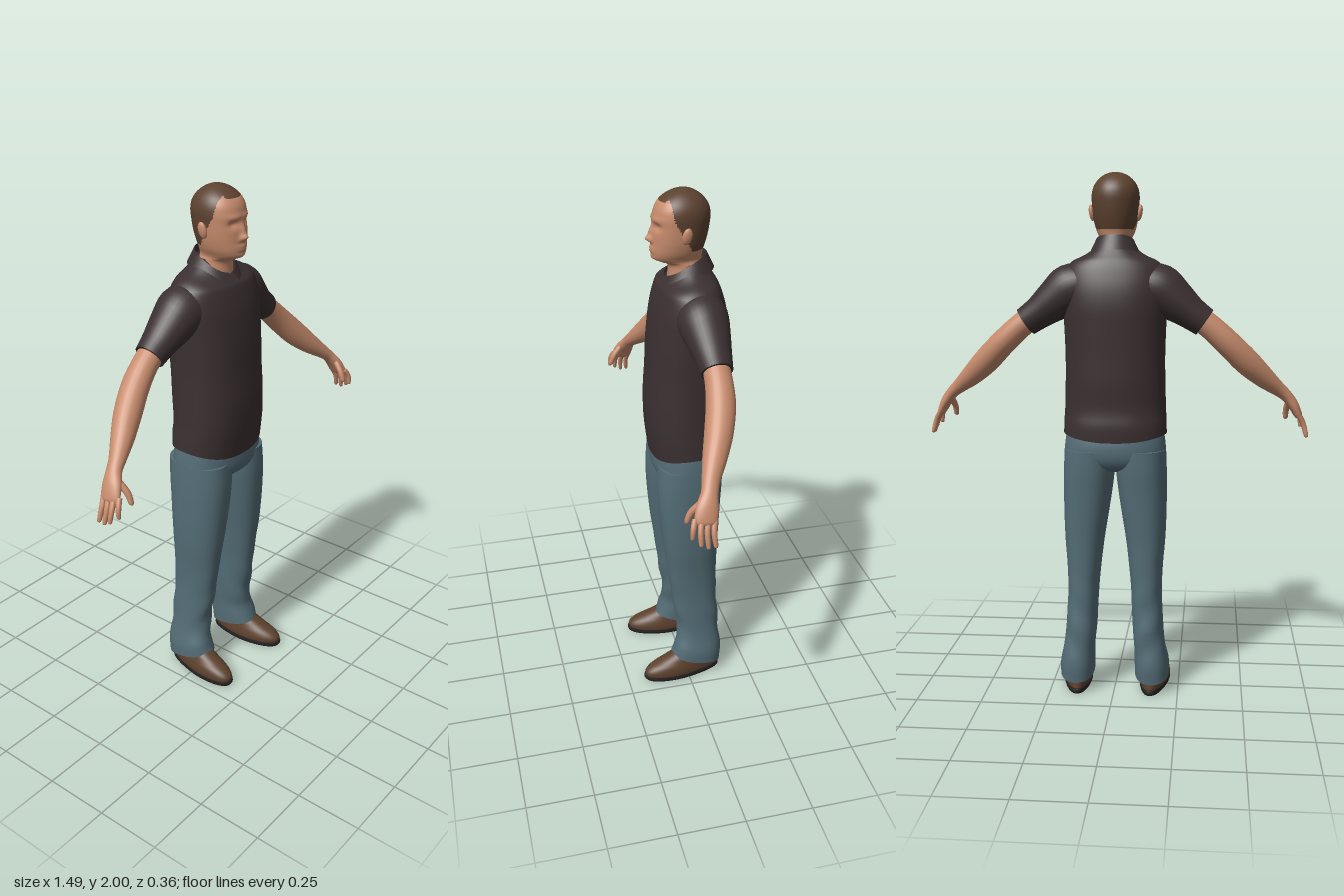
import * as THREE from 'three';

const mat = (name, color, side = THREE.FrontSide) => {
  const m = new THREE.MeshStandardMaterial({ color, side });
  m.name = name;
  return m;
};

// Smooth interpolation through a list of number rows
function resample(rows, steps) {
  const out = [], last = rows.length - 1;
  for (let k = 0; k <= last * steps; k++) {
    const i = Math.min(Math.floor(k / steps), last - 1), t = k / steps - i;
    const a = rows[Math.max(i - 1, 0)], b = rows[i], c = rows[i + 1], d = rows[Math.min(i + 2, last)];
    out.push(b.map((v, n) => 0.5 * (2 * v + (c[n] - a[n]) * t
      + (2 * a[n] - 5 * v + 4 * c[n] - d[n]) * t * t
      + (3 * v - a[n] - 3 * c[n] + d[n]) * t * t * t)));
  }
  return out;
}

const power = (v, e) => Math.sign(v) * Math.abs(v) ** (2 / e);

// Horizontal rings from rows of [y, centreX, halfWidth, zFront, zBack]
function bodyRings(rows, { segs = 40, steps = 4, exp = 2, bend } = {}) {
  return resample(rows, steps).map(([y, cx, rx, zf, zb]) =>
    Array.from({ length: segs }, (_, j) => {
      const a = (j / segs) * Math.PI * 2;
      const p = new THREE.Vector3(cx + rx * power(Math.sin(a), exp), y,
        (zf + zb) / 2 + (zf - zb) / 2 * power(Math.cos(a), exp));
      if (bend) bend(p, a);
      return p;
    }));
}

// Rings across a path from rows of [x, y, z, radius, radiusTowardFront]
function limbRings(rows, segs = 24, steps = 4) {
  const pts = resample(rows, steps);
  return pts.map((r, i) => {
    const a = pts[Math.max(i - 1, 0)], b = pts[Math.min(i + 1, pts.length - 1)];
    const t = new THREE.Vector3(b[0] - a[0], b[1] - a[1], b[2] - a[2]).normalize();
    const front = new THREE.Vector3(0, 0, 1).addScaledVector(t, -t.z).normalize();
    const across = t.clone().cross(front);
    return Array.from({ length: segs }, (_, j) => {
      const q = (j / segs) * Math.PI * 2;
      return new THREE.Vector3(r[0], r[1], r[2])
        .addScaledVector(across, r[3] * Math.sin(q)).addScaledVector(front, r[4] * Math.cos(q));
    });
  });
}

// Closed skin over rings, with flat end caps
function skin(rings) {
  const n = rings[0].length, pos = [], idx = [];
  rings.forEach(r => r.forEach(p => pos.push(p.x, p.y, p.z)));
  for (let i = 0; i < rings.length - 1; i++) for (let j = 0; j < n; j++) {
    const a = i * n + j, b = i * n + (j + 1) % n;
    idx.push(a, b, b + n, a, b + n, a + n);
  }
  [rings[0], rings[rings.length - 1]].forEach((r, end) => {
    const base = pos.length / 3, c = new THREE.Vector3();
    r.forEach(p => { pos.push(p.x, p.y, p.z); c.addScaledVector(p, 1 / n); });
    pos.push(c.x, c.y, c.z);
    for (let j = 0; j < n; j++) {
      const a = base + j, b = base + (j + 1) % n;
      idx.push(base + n, end ? a : b, end ? b : a);
    }
  });
  return build(pos, idx);
}

function build(pos, idx) {
  const g = new THREE.BufferGeometry();
  g.setAttribute('position', new THREE.Float32BufferAttribute(pos, 3));
  g.setIndex(idx);
  g.computeVertexNormals();
  return g;
}

// Open strip between two point rows
function strip(lower, upper) {
  const n = lower.length, idx = [];
  for (let i = 0; i < n - 1; i++) idx.push(i, i + 1, n + i + 1, i, n + i + 1, n + i);
  return build([...lower, ...upper].flatMap(p => [p.x, p.y, p.z]), idx);
}

function mirrored(geo) {
  const g = geo.clone().scale(-1, 1, 1), ix = Array.from(g.index.array);
  for (let i = 0; i < ix.length; i += 3) [ix[i], ix[i + 1]] = [ix[i + 1], ix[i]];
  g.setIndex(ix);
  g.computeVertexNormals();
  return g;
}

export function createModel() {
  const model = new THREE.Group();
  model.name = 'standingMan';
  const skinMat = mat('skin', 0xc68b6c), hairMat = mat('hair', 0x5c4230);
  const shirtMat = mat('shirt', 0x3b3031, THREE.DoubleSide), seamMat = mat('seam', 0x1d1819, THREE.DoubleSide);
  const pantsMat = mat('trousers', 0x546c76), shoeMat = mat('shoe', 0x5d412d), soleMat = mat('sole', 0x282323);

  const add = (name, geo, m) => {
    const mesh = new THREE.Mesh(geo, m);
    mesh.name = name;
    model.add(mesh);
  };
  const pair = (name, geo, m) => {
    add('left' + name, geo, m);
    add('right' + name, mirrored(geo), m);
  };

  // Head and neck, with brow, sockets, nose, lips and chin pushed from the face
  const bump = (p, x, y, sx, sy) => Math.exp(-(((Math.abs(p.x) - x) / sx) ** 2) - ((p.y - y) / sy) ** 2);
  const face = p => {
    if (p.z < 0.03 || p.y < 1.74) return;
    p.z += -0.012 * bump(p, 0.034, 1.875, 0.018, 0.013) + 0.005 * bump(p, 0.03, 1.9, 0.03, 0.01)
      + 0.012 * bump(p, 0, 1.85, 0.011, 0.025) + 0.018 * bump(p, 0, 1.828, 0.014, 0.012)
      + 0.005 * bump(p, 0.013, 1.822, 0.008, 0.008) + 0.006 * bump(p, 0, 1.796, 0.024, 0.006)
      + 0.006 * bump(p, 0, 1.784, 0.02, 0.005) + 0.004 * bump(p, 0, 1.757, 0.02, 0.01);
  };
  const head = skin(bodyRings([
    [1.62, 0, 0.075, 0.045, -0.09], [1.69, 0, 0.064, 0.037, -0.088], [1.732, 0, 0.058, 0.04, -0.085],
    [1.746, 0, 0.056, 0.072, -0.085], [1.758, 0, 0.06, 0.093, -0.086], [1.78, 0, 0.071, 0.098, -0.089],
    [1.81, 0, 0.08, 0.097, -0.098], [1.84, 0, 0.085, 0.096, -0.106], [1.875, 0, 0.088, 0.094, -0.112],
    [1.91, 0, 0.09, 0.091, -0.115], [1.94, 0, 0.085, 0.083, -0.109], [1.966, 0, 0.071, 0.064, -0.092],
    [1.986, 0, 0.049, 0.034, -0.067], [1.997, 0, 0.024, 0.003, -0.042], [2, 0, 0.002, -0.017, -0.021],
  ], { segs: 96, steps: 6, exp: 2.1, bend: face }));

  // Hairline: receding at the temples, peaked in the middle, cut above the nape
  const isHair = (x, y, z) => {
    if (y < 1.79) return false;
    if (y > 1.962 && Math.abs(x) < 0.042) return true;
    const line = y > 1.9 ? 0.03 + (y - 1.9) * 0.15 : y > 1.86 ? 0.005 + (y - 1.86) * 0.6 : 0.005 - (1.86 - y) * 0.6;
    return z < line;
  };
  const hp = head.attributes.position, parts = [[], []], ix = head.index.array;
  for (let i = 0; i < ix.length; i += 3) {
    const t = [ix[i], ix[i + 1], ix[i + 2]];
    const mid = f => t.reduce((s, v) => s + hp[f](v), 0) / 3;
    parts[isHair(mid('getX'), mid('getY'), mid('getZ')) ? 1 : 0].push(...t);
  }
  head.setIndex(parts.flat());
  head.addGroup(0, parts[0].length, 0);
  head.addGroup(parts[0].length, parts[1].length, 1);
  add('headAndHair', head, [skinMat, hairMat]);
  pair('Ear', new THREE.SphereGeometry(1, 16, 12).scale(0.011, 0.031, 0.018).rotateZ(-0.15).rotateX(-0.15)
    .translate(0.09, 1.852, -0.012), skinMat);

  // Shirt body, hem raised at the sides and neckline lowered at the front
  const torso = bodyRings([
    [0.985, 0, 0.198, 0.112, -0.155], [1.05, 0, 0.197, 0.12, -0.158], [1.12, 0, 0.194, 0.126, -0.152],
    [1.22, 0, 0.191, 0.127, -0.16], [1.32, 0, 0.19, 0.12, -0.164], [1.42, 0, 0.193, 0.115, -0.17],
    [1.5, 0, 0.197, 0.107, -0.174], [1.57, 0, 0.2, 0.096, -0.168], [1.63, 0, 0.192, 0.08, -0.153],
    [1.67, 0, 0.165, 0.066, -0.138], [1.695, 0, 0.115, 0.056, -0.123], [1.72, 0, 0.08, 0.048, -0.108],
    [1.74, 0, 0.068, 0.04, -0.1],
  ], { segs: 64, steps: 4, exp: 2.35, bend: (p, a) => {
    const low = Math.max(0, 1 - (p.y - 0.985) / 0.12), front = Math.max(0, Math.cos(a));
    p.y += low * (0.03 * Math.sin(a) ** 2 + 0.012 * (1 - Math.cos(a)) / 2);
    p.y -= Math.max(0, p.y - 1.65) * 0.65 * front;
  } });
  add('shirtBody', skin(torso), shirtMat);

  // Front button seam laid on the shirt
  const seam = dx => torso.slice(0, 42).map(r => {
    const k = r.findIndex((p, j) => j > 32 && p.x > -0.033), a = r[k - 1], b = r[k];
    const p = a.clone().lerp(b, (-0.033 - a.x) / (b.x - a.x));
    return p.add(new THREE.Vector3(dx, 0, 0.002));
  });
  add('buttonSeam', strip(seam(0.002), seam(-0.002)), seamMat);

  // Folded collar, open at the front with pointed flaps
  const collarEdge = (rx, rz, y, drop) => Array.from({ length: 41 }, (_, i) => {
    const a = 0.22 + (i / 40) * (Math.PI * 2 - 0.44), f = (1 + Math.cos(a)) / 2;
    return new THREE.Vector3(rx * Math.sin(a), y - drop * f ** 1.5, -0.028 + rz * Math.cos(a));
  });
  const fold = collarEdge(0.073, 0.076, 1.77, 0.08);
  add('collarFlap', strip(collarEdge(0.099, 0.103, 1.715, 0.07), fold), shirtMat);
  add('collarStand', strip(collarEdge(0.069, 0.07, 1.69, 0.04), fold), shirtMat);

  // Sleeves and arms
  pair('Sleeve', skin(limbRings([
    [0.1, 1.59, -0.045, 0.075, 0.09], [0.165, 1.57, -0.048, 0.094, 0.094], [0.225, 1.528, -0.052, 0.08, 0.082],
    [0.285, 1.483, -0.055, 0.063, 0.067], [0.338, 1.446, -0.055, 0.056, 0.057],
  ], 32)), shirtMat);
  pair('Arm', skin(limbRings([
    [0.3, 1.475, -0.055, 0.046, 0.048], [0.365, 1.425, -0.053, 0.047, 0.049], [0.43, 1.365, -0.043, 0.049, 0.052],
    [0.5, 1.295, -0.017, 0.05, 0.05], [0.565, 1.235, 0.015, 0.041, 0.042], [0.62, 1.19, 0.042, 0.029, 0.032],
    [0.655, 1.16, 0.056, 0.023, 0.03], [0.682, 1.125, 0.07, 0.021, 0.039], [0.703, 1.085, 0.08, 0.016, 0.04],
    [0.708, 1.073, 0.082, 0.008, 0.03],
  ])), skinMat);

  // Four fingers spread along the knuckles, and a thumb
  const finger = (a, b, c, r) => skin(limbRings([
    [...a, r, r], [...b, r * 0.95, r * 0.95], [...c, r * 0.75, r * 0.75],
    [c[0] + (c[0] - b[0]) * 0.15, c[1] + (c[1] - b[1]) * 0.15, c[2], r * 0.2, r * 0.2]], 12));
  [0.06, 0.035, 0.018, 0.02].forEach((lift, i) => {
    const z = 0.116 - i * 0.023, y = 0.985 + lift * 0.7;
    pair('Finger' + (i + 1), finger([0.697, 1.095, z], [0.722 - (i === 0) * 0.008, (1.095 + y) / 2 + 0.005, z + 0.01],
      [0.735 - (i === 0) * 0.018, y + 0.007, z + 0.013 - i * 0.002], 0.0105), skinMat);
  });
  pair('Thumb', finger([0.668, 1.135, 0.09], [0.66, 1.1, 0.12], [0.659, 1.066, 0.134], 0.0125), skinMat);

  // Trousers: seat plus two legs with flared, slanted cuffs
  add('trouserSeat', skin(bodyRings([
    [0.875, 0, 0.08, 0.04, -0.08], [0.895, 0, 0.155, 0.085, -0.125], [0.93, 0, 0.193, 0.105, -0.146],
    [0.98, 0, 0.194, 0.106, -0.15], [1.04, 0, 0.185, 0.1, -0.14]], { exp: 2.4 })), pantsMat);
  pair('TrouserLeg', skin(bodyRings([
    [0.045, 0.147, 0.067, 0.062, -0.14], [0.1, 0.146, 0.067, 0.05, -0.143], [0.17, 0.139, 0.061, 0.034, -0.139],
    [0.27, 0.13, 0.06, 0.04, -0.132], [0.4, 0.124, 0.06, 0.058, -0.126], [0.5, 0.121, 0.066, 0.07, -0.126],
    [0.6, 0.119, 0.076, 0.084, -0.128], [0.7, 0.113, 0.086, 0.095, -0.134], [0.8, 0.106, 0.094, 0.103, -0.14],
    [0.88, 0.101, 0.098, 0.105, -0.146], [0.96, 0.098, 0.098, 0.1, -0.148],
  ], { exp: 2.3, steps: 5, bend: (p, a) => {
    const low = Math.max(0, 1 - (p.y - 0.045) / 0.18);
    p.y += low * 0.05 * (1 + Math.cos(a)) / 2;
    p.z += 0.004 * Math.sin(p.y * 42 + a * 2) * Math.exp(-(((p.y - 0.25) / 0.16) ** 2));
  } })), pantsMat);

  // Shoes turned slightly outward on dark soles
  const turn = p => {
    p.x += p.z * 0.09;
    if (p.z < 0.03) p.x += (0.152 - p.x) * Math.min(0.2, (0.03 - p.z) * 1.5);
  };
  pair('Shoe', skin(bodyRings([
    [0.016, 0.152, 0.056, 0.178, -0.132], [0.035, 0.152, 0.057, 0.178, -0.13], [0.055, 0.152, 0.054, 0.156, -0.127],
    [0.075, 0.151, 0.049, 0.112, -0.122], [0.1, 0.15, 0.045, 0.06, -0.118], [0.125, 0.148, 0.04, 0.025, -0.11],
  ], { exp: 2.2, bend: turn })), shoeMat);
  pair('Sole', skin(bodyRings([
    [0, 0.152, 0.056, 0.178, -0.136], [0.01, 0.152, 0.059, 0.184, -0.139], [0.02, 0.152, 0.058, 0.182, -0.137],
  ], { exp: 2.2, bend: turn })), soleMat);

  return model;
}
